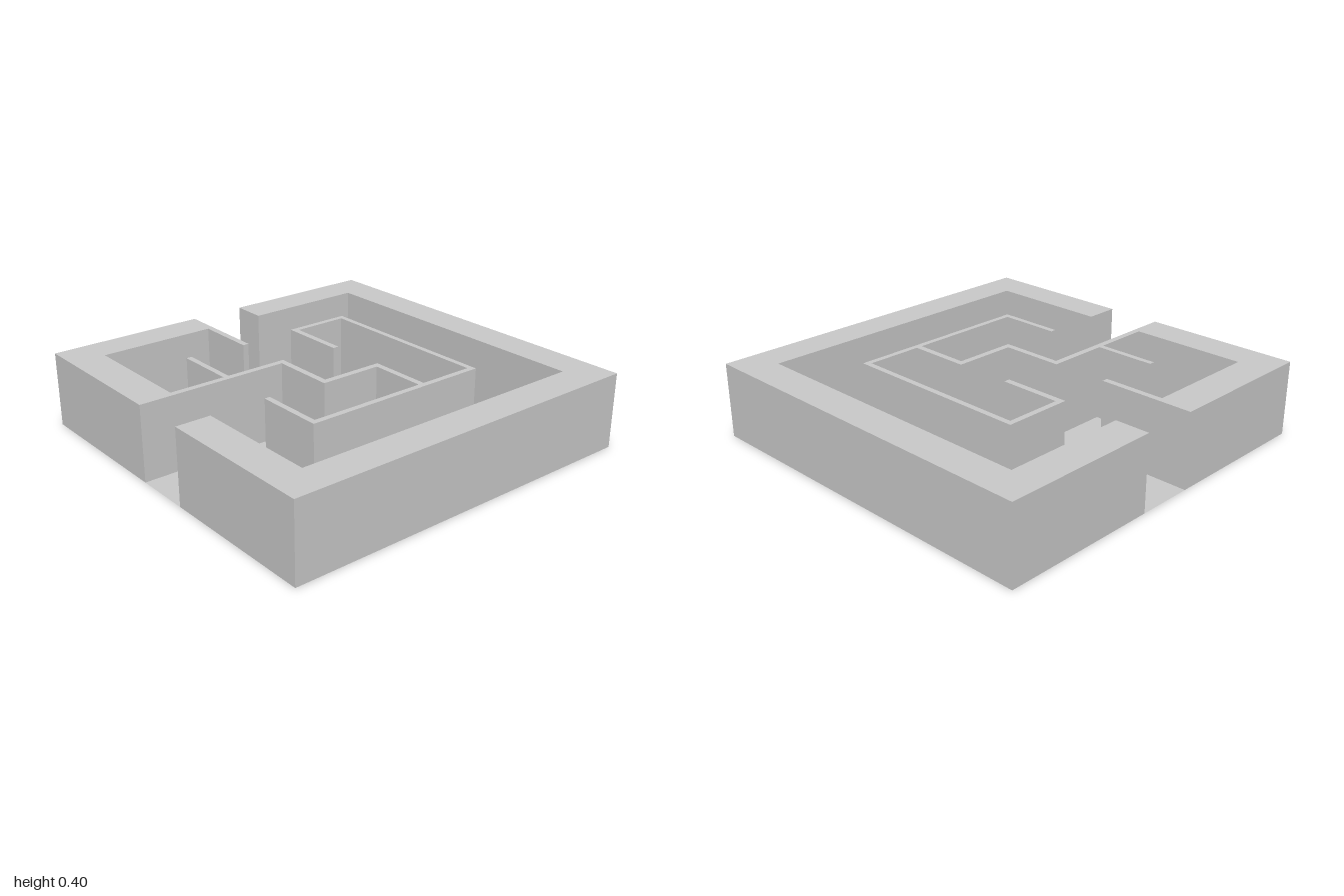
import * as THREE from 'three';

const HEIGHT = 0.4;
// wall faces sit on these grid offsets
const E = 1, O = 0.815, M = 0.515, m = 0.485, S = 0.185, s = 0.152;

// Outer wall from the side entrance round the back to the front entrance, as [x, z]
const outerWall = [
  [-E, -E], [E, -E], [E, E], [s, E], [s, O], [O, O],
  [O, -O], [-O, -O], [-O, -s], [-E, -s],
];

// Front corner of the outer wall and the thin winding wall that grows out of it
const windingWall = [
  [-E, s], [-m, s], [-m, S], [-O, S], [-O, O], [-S, O],       // corner room
  [-S, M], [-M, M], [-M, m], [-S, m],                         // short spur
  [-S, s], [s, s], [s, -S], [m, -S],                          // steps to the back room
  [m, -m], [-m, -m], [-m, -S], [-s, -S], [-s, -s], [-M, -s],  // back room and its hook
  [-M, -M], [M, -M], [M, M], [s, M], [s, m], [m, m],          // long outer side and spur
  [m, -s], [S, -s], [S, S], [-s, S], [-s, E], [-E, E],        // back to the front entrance
];

function createWall(name, outline, material) {
  const shape = new THREE.Shape(outline.map(([x, z]) => new THREE.Vector2(x, -z)));
  const geometry = new THREE.ExtrudeGeometry(shape, { depth: HEIGHT, bevelEnabled: false });
  geometry.rotateX(-Math.PI / 2);
  const wall = new THREE.Mesh(geometry, material);
  wall.name = name;
  return wall;
}

export function createModel() {
  const model = new THREE.Group();
  model.name = 'maze';
  const material = new THREE.MeshStandardMaterial({ color: 0xcccccc });

  model.add(createWall('outerWall', outerWall, material));
  model.add(createWall('windingWall', windingWall, material));

  // Paper-thin floor, seen from both sides
  const floor = new THREE.Mesh(
    new THREE.PlaneGeometry(2, 2).rotateX(-Math.PI / 2),
    new THREE.MeshStandardMaterial({ color: 0xcccccc, side: THREE.DoubleSide })
  );
  floor.name = 'floor';
  model.add(floor);

  return model;
}
